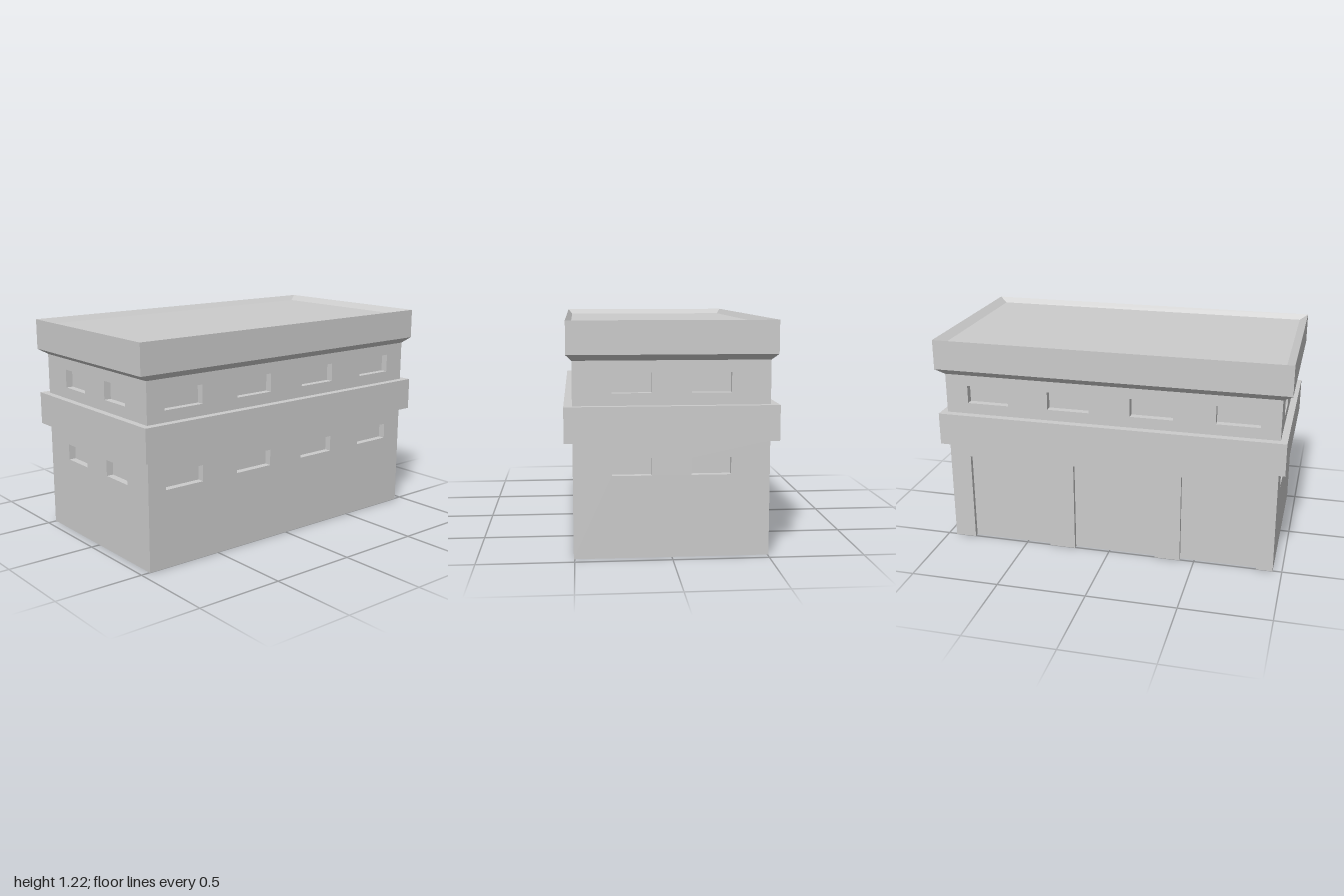
import * as THREE from 'three';
import { mergeGeometries } from 'three/addons/utils/BufferGeometryUtils.js';

const HX = 0.949, HZ = 0.505;          // half size of the walls
const BAND_Y0 = 0.605, BAND_Y1 = 0.79; // projecting band between storeys
const CORNICE_Y = 1.018;

const material = new THREE.MeshStandardMaterial({
  color: 0xcccccc, flatShading: true, side: THREE.DoubleSide,
});

function addMesh(parent, name, geometry) {
  const mesh = new THREE.Mesh(geometry, material);
  mesh.name = name;
  parent.add(mesh);
  return mesh;
}

// Flat-shaded geometry from a list of four-cornered faces
function quads(faces) {
  const pos = [];
  for (const [a, b, c, d] of faces) pos.push(...a, ...b, ...c, ...a, ...c, ...d);
  const g = new THREE.BufferGeometry();
  g.setAttribute('position', new THREE.Float32BufferAttribute(pos, 3));
  g.computeVertexNormals();
  return g;
}

// Rectangular rings [halfX, halfZ, y] joined from bottom to top
function loft(rings, capped) {
  const loops = rings.map(([x, z, y]) => [[-x, y, z], [x, y, z], [x, y, -z], [-x, y, -z]]);
  const faces = [];
  for (let k = 0; k + 1 < loops.length; k++) {
    for (let i = 0; i < 4; i++) {
      const j = (i + 1) % 4;
      faces.push([loops[k][i], loops[k][j], loops[k + 1][j], loops[k + 1][i]]);
    }
  }
  if (capped) faces.push(loops[loops.length - 1]);
  return quads(faces);
}

// Sides and back panel of a recessed opening; one that starts at the ground has no sill
function recess({ l, r, b, t, depth }) {
  const at = (z) => [[l, b, z], [r, b, z], [r, t, z], [l, t, z]];
  const f = at(0), k = at(-depth);
  const faces = [k];
  for (let i = b > 0 ? 0 : 1; i < 4; i++) {
    const j = (i + 1) % 4;
    faces.push([f[i], f[j], k[j], k[i]]);
  }
  return quads(faces);
}

// Wall sheet facing +z with windows cut out and doorways notched into its foot
function wallSheet(half, y0, y1, windows, doors) {
  const shape = new THREE.Shape();
  shape.moveTo(-half, y0);
  for (const { l, r, t } of [...doors].sort((p, q) => p.l - q.l)) {
    shape.lineTo(l, y0);
    shape.lineTo(l, t);
    shape.lineTo(r, t);
    shape.lineTo(r, y0);
  }
  shape.lineTo(half, y0);
  shape.lineTo(half, y1);
  shape.lineTo(-half, y1);
  shape.closePath();
  for (const { l, r, b, t } of windows) {
    shape.holes.push(new THREE.Path([
      new THREE.Vector2(l, b), new THREE.Vector2(l, t),
      new THREE.Vector2(r, t), new THREE.Vector2(r, b),
    ]));
  }
  return new THREE.ShapeGeometry(shape);
}

function windowRow(centres, width, b, t) {
  return centres.map((c) => ({ l: c - width / 2, r: c + width / 2, b, t, depth: 0.04 }));
}

// Same openings seen from the other side of the building
const flip = (list) => list.map((o) => ({ ...o, l: -o.r, r: -o.l }));

export function createModel() {
  const model = new THREE.Group();
  model.name = 'building';

  // Window and door layout
  const longX = [-0.72, -0.245, 0.228, 0.70];
  const sideZ = [-0.202, 0.205];
  const LOW = [0.43, 0.52], HIGH = [0.853, 0.956];
  const longLow = windowRow(longX, 0.24, ...LOW);
  const longHigh = windowRow(longX, 0.24, ...HIGH);
  const sideLow = windowRow(sideZ, 0.204, ...LOW);
  const sideHigh = windowRow(sideZ, 0.204, ...HIGH);
  const doors = [[0.357, 0.827], [-0.272, 0.205], [-0.855, -0.418]]
    .map(([l, r]) => ({ l, r, b: 0, t: 0.522, depth: 0.025 }));

  // Four sides, each with a lower and an upper storey
  const sides = [
    { name: 'front', angle: 0, half: HX, out: HZ, low: longLow, high: longHigh, doors: [] },
    { name: 'back', angle: Math.PI, half: HX, out: HZ, low: [], high: flip(longHigh), doors: flip(doors) },
    { name: 'right', angle: Math.PI / 2, half: HZ, out: HX, low: flip(sideLow), high: flip(sideHigh), doors: [] },
    { name: 'left', angle: -Math.PI / 2, half: HZ, out: HX, low: sideLow, high: sideHigh, doors: [] },
  ];
  for (const s of sides) {
    const side = new THREE.Group();
    side.name = s.name + 'Side';
    side.rotation.y = s.angle;
    side.position.set(0, 0, s.out).applyAxisAngle(new THREE.Vector3(0, 1, 0), s.angle);
    addMesh(side, 'lowerWall', wallSheet(s.half, 0, BAND_Y0, s.low, s.doors));
    addMesh(side, 'upperWall', wallSheet(s.half, BAND_Y1, CORNICE_Y, s.high, []));
    addMesh(side, 'windows', mergeGeometries([...s.low, ...s.high].map(recess)));
    if (s.doors.length) addMesh(side, 'garageDoors', mergeGeometries(s.doors.map(recess)));
    model.add(side);
  }

  // Band projecting between the storeys
  addMesh(model, 'storeyBand', loft([
    [HX, HZ, BAND_Y0], [0.987, 0.548, BAND_Y0], [0.987, 0.548, BAND_Y1], [HX, HZ, BAND_Y1],
  ], false));

  // Flared cornice, parapet sloping inward, and sunken roof
  addMesh(model, 'corniceAndRoof', loft([
    [HX, HZ, CORNICE_Y], [1, 0.534, 1.05], [1, 0.534, 1.22], [0.953, 0.508, 1.19],
  ], true));

  return model;
}
